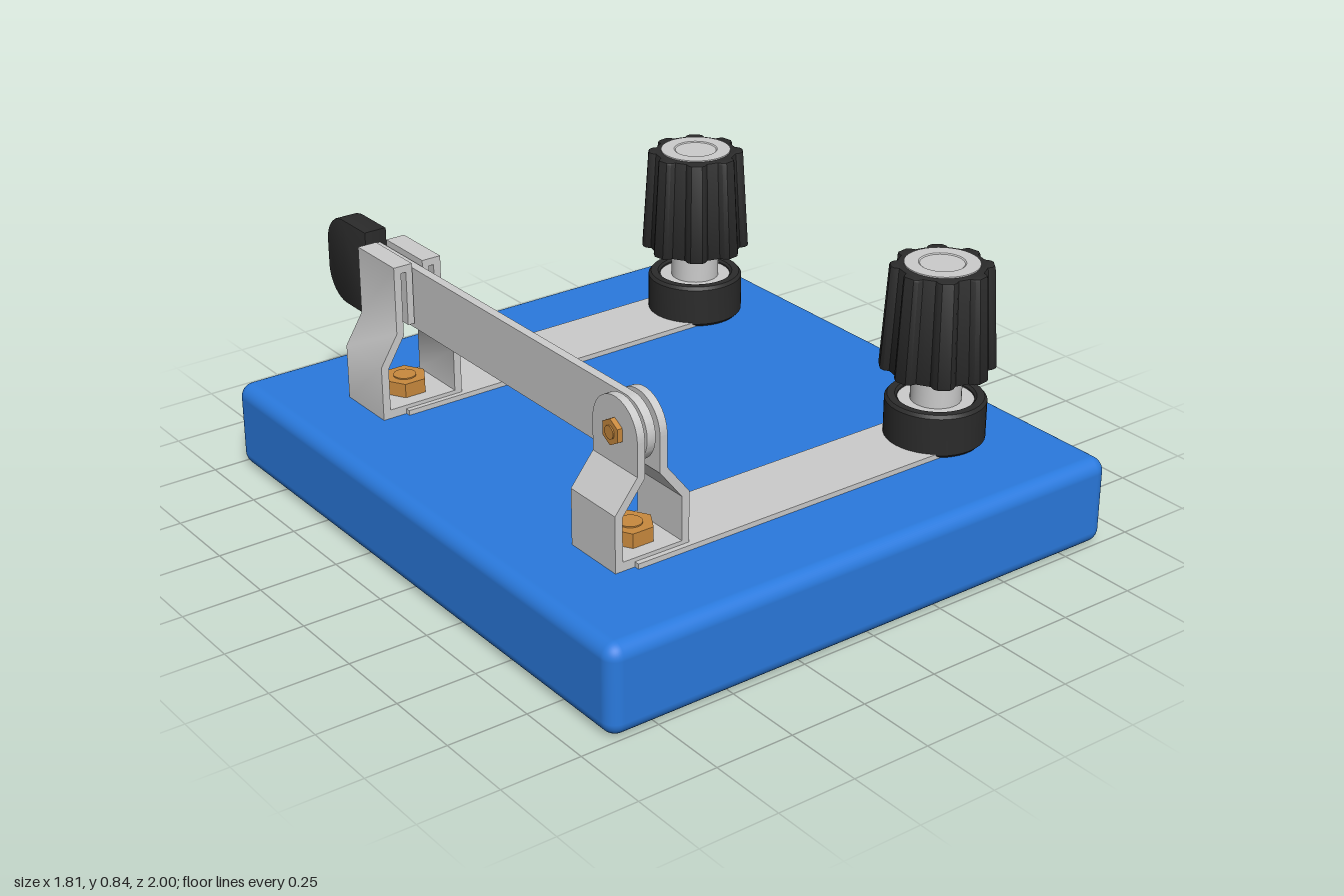
import * as THREE from 'three';
import { toCreasedNormals } from 'three/addons/utils/BufferGeometryUtils.js';
import { RoundedBoxGeometry } from 'three/addons/geometries/RoundedBoxGeometry.js';

const material = (color) => new THREE.MeshStandardMaterial({ color, side: THREE.DoubleSide });
const metal = material(0xcccccc);
const blue = material(0x2a7ade);
const black = material(0x2b2b2b);
const brass = material(0xc98a3e);

const SWITCH_X = -0.535;
const POST_X = 0.587;
const PIVOT_Y = 0.65;

function add(parent, name, geometry, mat, x = 0, y = 0, z = 0) {
  const mesh = new THREE.Mesh(toCreasedNormals(geometry, 0.6), mat);
  mesh.name = name;
  mesh.position.set(x, y, z);
  parent.add(mesh);
  return mesh;
}

const box = (w, h, d) => new THREE.BoxGeometry(w, h, d);
const lathe = (points, segments = 40) =>
  new THREE.LatheGeometry(points.map(([r, y]) => new THREE.Vector2(r, y)), segments);

function extrude(shape, depth, bevel = 0) {
  return new THREE.ExtrudeGeometry(shape, {
    depth: depth - 2 * bevel, curveSegments: 20, bevelEnabled: bevel > 0,
    bevelSize: bevel, bevelThickness: bevel, bevelOffset: -bevel, bevelSegments: 2,
  }).translate(0, 0, bevel);
}

// Plate drawn in (z, y) and given thickness along x, centred on x
const sidePlate = (shape, thickness, bevel = 0) =>
  extrude(shape, thickness, bevel).translate(0, 0, -thickness / 2).rotateY(-Math.PI / 2);

// Bent metal sheet: outer half profile up one side, inner half back down, mirrored
function bentClip(outer, inner, width) {
  const half = [...outer, ...inner];
  const mirrored = half.map(([x, y]) => [-x, y]).reverse();
  const shape = new THREE.Shape([...half, ...mirrored].map(([x, y]) => new THREE.Vector2(x, y)));
  return extrude(shape, width).translate(0, 0, -width / 2);
}

// Tapered knob with eight rounded ridges
function knobGeometry() {
  const points = [];
  const ridges = 8;
  for (let i = 0; i < ridges; i++) {
    for (const [t, r] of [[-0.5, 0.150], [-0.32, 0.151], [-0.24, 0.166], [-0.14, 0.174], [0.14, 0.174], [0.24, 0.166], [0.32, 0.151]]) {
      const a = THREE.MathUtils.degToRad(9) + ((i + t) / ridges) * Math.PI * 2;
      points.push(new THREE.Vector2(Math.cos(a) * r, Math.sin(a) * r));
    }
  }
  const height = 0.33;
  const geometry = extrude(new THREE.Shape(points), height, 0.008).rotateX(-Math.PI / 2);
  const p = geometry.attributes.position;
  for (let i = 0; i < p.count; i++) {
    const s = 1 - 0.12 * (p.getY(i) / height);
    p.setX(i, p.getX(i) * s);
    p.setZ(i, p.getZ(i) * s);
  }
  return geometry;
}

// Terminal post: collar, washer, stem, knob and dished insert
function terminalPost(name, z) {
  const post = new THREE.Group();
  post.name = name;
  post.position.set(POST_X, 0, z);
  add(post, 'collar', lathe([[0, 0.28], [0.142, 0.28], [0.153, 0.291], [0.153, 0.41], [0.145, 0.42],
    [0.122, 0.42], [0.115, 0.413], [0.115, 0.38], [0, 0.38]]), black);
  add(post, 'washer', new THREE.CylinderGeometry(0.115, 0.115, 0.03, 40), metal, 0, 0.393, 0);
  add(post, 'stem', new THREE.CylinderGeometry(0.077, 0.077, 0.2, 32), metal, 0, 0.46, 0);
  add(post, 'knob', knobGeometry(), black, 0, 0.51, 0);
  add(post, 'dishedInsert', lathe([[0.112, 0.83], [0.112, 0.844], [0.07, 0.844], [0.066, 0.841], [0, 0.841]]), metal);
  return post;
}

// Hexagonal nut lying flat with a small bolt end
function nut(name, radius, height) {
  const group = new THREE.Group();
  group.name = name;
  add(group, 'hexagon', new THREE.CylinderGeometry(radius, radius, height, 6).rotateY(Math.PI / 6 * 1), brass);
  add(group, 'boltEnd', new THREE.CylinderGeometry(radius * 0.5, radius * 0.5, height + 0.008, 20), brass);
  return group;
}

function baseNut() {
  const n = nut('baseNut', 0.07, 0.045);
  n.position.y = 0.332;
  return n;
}

// Hinge clip with round-topped jaws around the pivot
function hingeClip(z) {
  const clip = new THREE.Group();
  clip.name = 'hingeClip';
  clip.position.set(SWITCH_X, 0, z);
  add(clip, 'bracket', bentClip(
    [[0.125, 0.28], [0.125, 0.455], [0.05, 0.55], [0.05, PIVOT_Y]],
    [[0.025, PIVOT_Y], [0.025, 0.54], [0.1, 0.445], [0.1, 0.308]], 0.205), metal);
  const top = new THREE.Shape();
  top.absarc(0, 0, 0.1025, 0, Math.PI);
  top.closePath();
  for (const side of [-1, 1]) {
    add(clip, 'roundedJaw', sidePlate(top, 0.025), metal, side * 0.0375, PIVOT_Y, 0);
    add(clip, 'pivotWasher', new THREE.CylinderGeometry(0.06, 0.06, 0.014, 24).rotateZ(Math.PI / 2),
      metal, side * 0.019, PIVOT_Y, 0);
    const head = nut('pivotNut', 0.04, 0.018);
    head.rotation.z = Math.PI / 2;
    head.position.set(side * 0.057, PIVOT_Y, 0);
    clip.add(head);
  }
  clip.add(baseNut());
  return clip;
}

// Contact clip whose jaws fold inward and down to grip the blade
function contactClip(z) {
  const clip = new THREE.Group();
  clip.name = 'contactClip';
  clip.position.set(SWITCH_X, 0, z);
  add(clip, 'bracket', bentClip(
    [[0.14, 0.28], [0.14, 0.455], [0.081, 0.55], [0.081, 0.765], [0.018, 0.765], [0.018, 0.57]],
    [[0.04, 0.57], [0.04, 0.742], [0.057, 0.742], [0.057, 0.54], [0.115, 0.445], [0.115, 0.308]], 0.205), metal);
  clip.add(baseNut());
  return clip;
}

// Blade with a round hinge end, and a grip with rounded outer corners
function knifeBlade(hingeZ) {
  const blade = new THREE.Group();
  blade.name = 'knifeBlade';
  const bar = new THREE.Shape();
  bar.moveTo(-0.8, PIVOT_Y - 0.098);
  bar.lineTo(hingeZ, PIVOT_Y - 0.098);
  bar.absarc(hingeZ, PIVOT_Y, 0.098, -Math.PI / 2, Math.PI / 2);
  bar.lineTo(-0.8, PIVOT_Y + 0.098);
  bar.closePath();
  add(blade, 'bar', sidePlate(bar, 0.028).scale(1, 1, 1), metal, SWITCH_X, 0, 0);

  const grip = new THREE.Shape();
  const [inner, outer, low, high, r] = [-0.725, -0.96, 0.51, 0.79, 0.1];
  grip.moveTo(inner, low);
  grip.lineTo(inner, high);
  grip.lineTo(outer + r, high);
  grip.absarc(outer + r, high - r, r, Math.PI / 2, Math.PI);
  grip.absarc(outer + r, low + r, r, Math.PI, Math.PI * 1.5);
  grip.closePath();
  add(blade, 'grip', sidePlate(grip, 0.077, 0.006), black, SWITCH_X, 0, 0);
  return blade;
}

export function createModel() {
  const model = new THREE.Group();
  model.name = 'knifeSwitch';
  const base = new THREE.Mesh(new RoundedBoxGeometry(1.81, 0.28, 2, 5, 0.045), blue);
  base.name = 'base';
  base.position.y = 0.14;
  model.add(base);

  const backZ = -0.592;
  const frontZ = 0.582;
  for (const [name, z] of [['back', backZ - 0.006], ['front', frontZ - 0.006]]) {
    add(model, name + 'Strip', box(1.18, 0.018, 0.25), metal, -0.005, 0.287, z);
    model.add(terminalPost(name + 'Terminal', z + 0.008));
  }
  model.add(hingeClip(frontZ), contactClip(backZ), knifeBlade(frontZ));
  return model;
}
